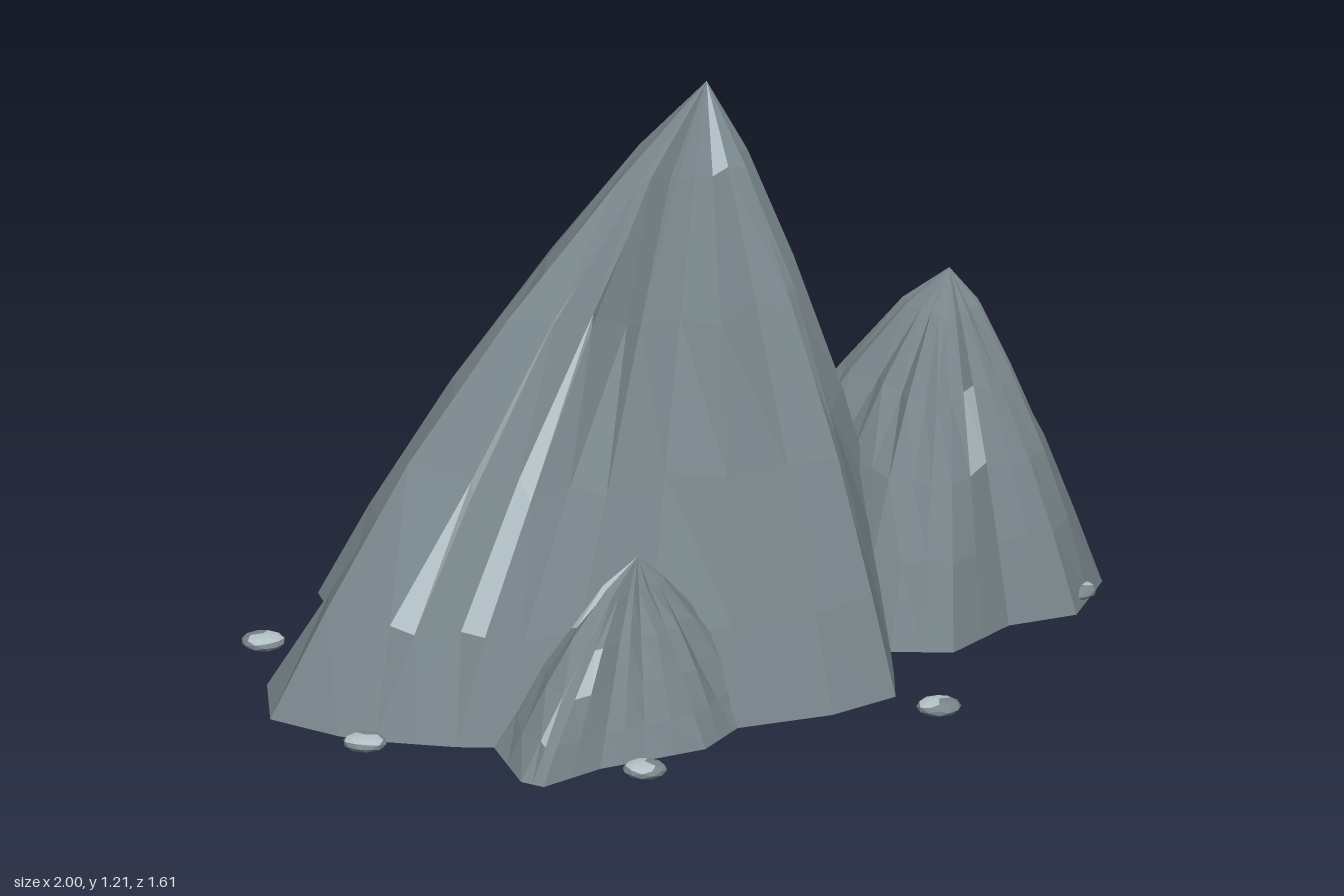
import * as THREE from 'three';

function flatMaterial(name, color) {
  const m = new THREE.MeshStandardMaterial({ color, flatShading: true, side: THREE.DoubleSide });
  m.name = name;
  return m;
}
const materials = [flatMaterial('grey rock', 0x78858a), flatMaterial('pale rock', 0xb2c0c5)];

function seeded(seed) {
  return () => {
    seed = (seed * 16807) % 2147483647;
    return seed / 2147483647;
  };
}

// Doubles the number of foot points by adding edge midpoints
function subdivide(foot) {
  return foot.flatMap(([x, z], i) => {
    const [nx, nz] = foot[(i + 1) % foot.length];
    return [[x, z], [(x + nx) / 2, (z + nz) / 2]];
  });
}

// Flat-shaded geometry with one group for grey and one for pale triangles
function twoToneGeometry(pos, grey, pale) {
  const geo = new THREE.BufferGeometry();
  geo.setAttribute('position', new THREE.Float32BufferAttribute(pos, 3));
  geo.setIndex([...grey, ...pale]);
  const flat = geo.toNonIndexed();
  flat.clearGroups();
  flat.addGroup(0, grey.length, 0);
  flat.addGroup(grey.length, pale.length, 1);
  flat.computeVertexNormals();
  return flat;
}

// Open peak: foot outline scaled towards the apex ring by ring, pleated near the top
// profile entries: [height fraction, outline fraction, pleat strength]
// streaks entries: [column, first band, last band] of pale rock, band 0 touching the apex
function peak(name, apex, foot, profile, streaks, seed) {
  const rand = seeded(seed);
  const [ax, ay, az] = apex;
  const n = foot.length;
  const pos = [ax, ay, az];
  const grey = [], pale = [];
  const pleat = foot.map(([, z], i) => ((i % 2 ? 1 : -1) * 0.6 + (rand() - 0.5) * 0.8) * (z < -0.45 ? 0.4 : 1));
  profile.forEach(([h, f, p]) => {
    foot.forEach(([x, z], i) => {
      const k = f * (1 + p * (pleat[i] + (rand() - 0.5) * 0.5));
      const y = ay * (h + (h > 0 ? (rand() - 0.5) * 0.03 : 0));
      pos.push(ax + (x - ax) * k, y, az + (z - az) * k);
    });
  });
  for (let i = 0; i < n; i++) {
    const j = (i + 1) % n;
    const tone = (band) => (streaks.some(([c, s, e]) => c === i && band >= s && band <= e) ? pale : grey);
    tone(0).push(0, 1 + j, 1 + i);
    for (let r = 0; r < profile.length - 1; r++) {
      const a = 1 + r * n, b = a + n;
      tone(r + 1).push(a + i, a + j, b + i, a + j, b + j, b + i);
    }
  }
  const mesh = new THREE.Mesh(twoToneGeometry(pos, grey, pale), materials);
  mesh.name = name;
  return mesh;
}

// Flattened stone with a pale patch on part of its top
function stoneGeometry() {
  const ball = new THREE.IcosahedronGeometry(0.047, 1);
  const p = ball.attributes.position;
  const grey = [], pale = [];
  for (let i = 0; i < p.count; i += 3) {
    const x = (p.getX(i) + p.getX(i + 1) + p.getX(i + 2)) / 3;
    const y = (p.getY(i) + p.getY(i + 1) + p.getY(i + 2)) / 3;
    (y > 0.018 && x > -0.006 ? pale : grey).push(i, i + 1, i + 2);
  }
  return twoToneGeometry(p.array, grey, pale);
}

export function createModel() {
  const group = new THREE.Group();
  group.name = 'mountain';

  // Main summit
  const mainFoot = [
    [0.01, -0.8], [0.2, -0.72], [0.4, -0.665], [0.41, -0.47], [0.55, -0.365], [0.54, -0.22],
    [0.6, -0.15], [0.62, -0.02], [0.55, 0.12], [0.42, 0.28], [0.32, 0.36], [0.195, 0.45],
    [0.105, 0.54], [0.015, 0.625], [-0.15, 0.595], [-0.34, 0.495], [-0.5, 0.37], [-0.64, 0.27],
    [-0.76, 0.19], [-0.81, 0.13], [-0.85, 0.065], [-0.9, -0.02], [-0.93, -0.095], [-0.955, -0.265],
    [-0.815, -0.4], [-0.46, -0.52], [-0.36, -0.665], [-0.18, -0.73],
  ];
  group.add(peak('main peak', [0.085, 1.21, 0.03], mainFoot,
    [[0.86, 0.19, 0.15], [0.65, 0.43, 0.12], [0.4, 0.67, 0.06], [0.165, 0.87, 0.02], [0, 1, 0]],
    [[21, 1, 3], [19, 2, 3], [14, 0, 0], [1, 1, 1]], 11));

  // Side peak on the model's left
  const sideFoot = [
    [0.45, -0.22], [0.6, -0.17], [0.84, -0.045], [0.84, 0.2], [0.78, 0.265], [0.795, 0.39],
    [0.785, 0.515], [0.61, 0.6], [0.47, 0.535], [0.28, 0.55], [0.195, 0.45], [0.18, 0.29],
    [0.24, 0.08], [0.25, -0.18],
  ];
  group.add(peak('side peak', [0.59, 0.7, 0.26], subdivide(sideFoot),
    [[0.88, 0.19, 0.15], [0.67, 0.43, 0.1], [0.46, 0.65, 0.05], [0.25, 0.83, 0.02], [0, 1, 0]],
    [[27, 1, 1], [16, 2, 2]], 23));

  // Low peak on the model's right
  const lowFoot = [
    [-0.48, 0.08], [-0.27, 0.2], [-0.18, 0.36], [-0.2, 0.47], [-0.355, 0.5], [-0.47, 0.525],
    [-0.6, 0.475], [-0.7, 0.435], [-0.855, 0.415], [-0.865, 0.36], [-0.76, 0.19], [-0.63, 0.13],
  ];
  group.add(peak('low peak', [-0.455, 0.375, 0.32], subdivide(lowFoot),
    [[0.85, 0.22, 0.25], [0.62, 0.47, 0.15], [0.4, 0.68, 0.08], [0.18, 0.86, 0.04], [0, 1, 0]],
    [[17, 2, 3], [15, 2, 2], [20, 0, 1], [22, 0, 1]], 37));

  // Ring of flattened stones
  const stoneGeo = stoneGeometry();
  for (let i = 0; i < 8; i++) {
    const a = (i * Math.PI) / 4;
    const stone = new THREE.Mesh(stoneGeo, materials);
    stone.name = 'stone ' + (i + 1);
    stone.position.set(0.953 * Math.cos(a), 0.02, 0.76 * Math.sin(a));
    stone.scale.y = 0.36;
    stone.rotation.y = i * 0.9;
    group.add(stone);
  }
  return group;
}
